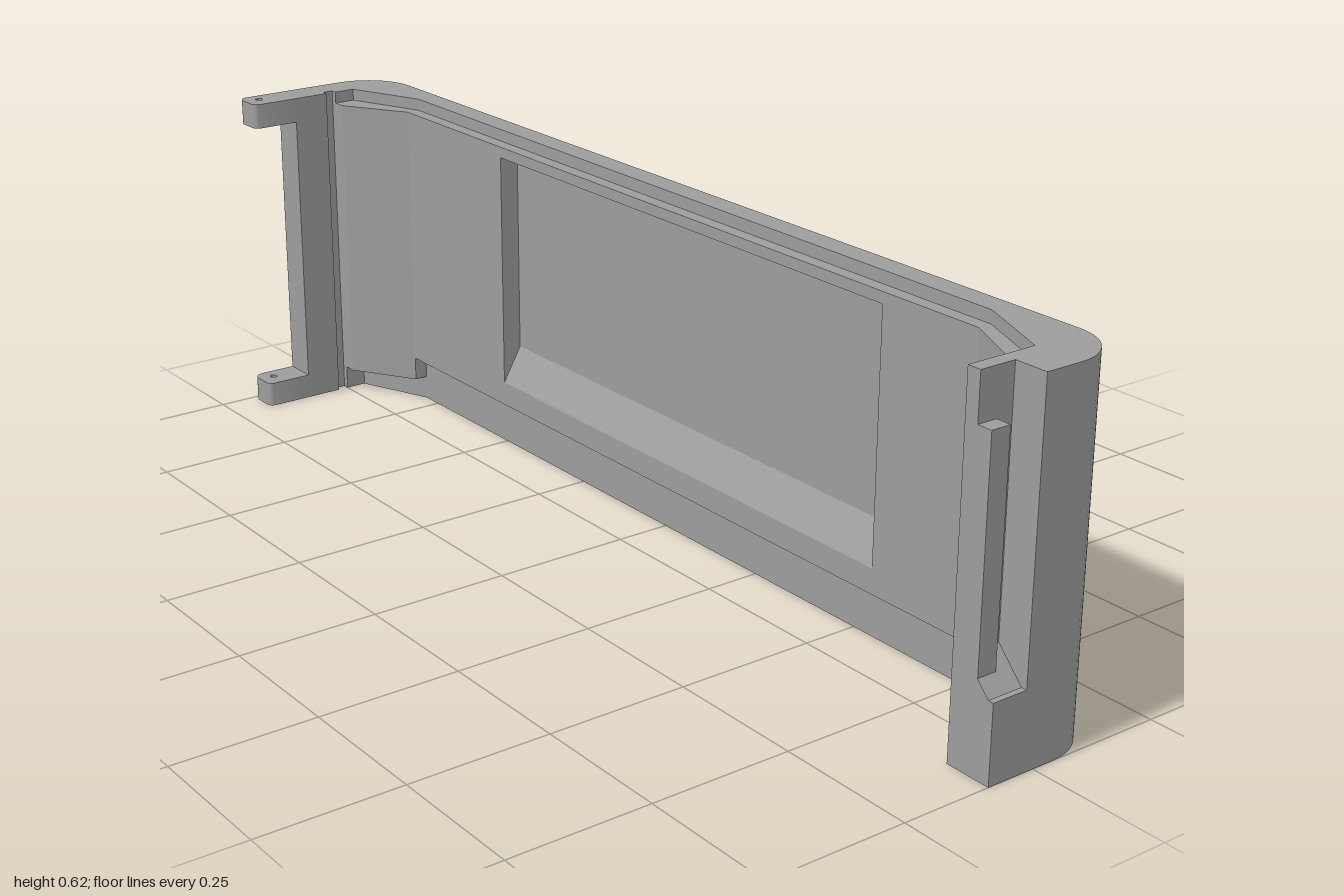
import * as THREE from 'three';
import { toCreasedNormals } from 'three/addons/utils/BufferGeometryUtils.js';

const bodyMaterial = new THREE.MeshStandardMaterial({ color: 0x9d9d9d, side: THREE.DoubleSide });
const holderMaterial = new THREE.MeshStandardMaterial({ color: 0xcccccc, side: THREE.DoubleSide });

function makeMesh(name, geometry, material = bodyMaterial) {
  const mesh = new THREE.Mesh(toCreasedNormals(geometry, 0.5), material);
  mesh.name = name;
  return mesh;
}

const extrude = (shape, depth) =>
  new THREE.ExtrudeGeometry(shape, { depth, bevelEnabled: false, curveSegments: 12 });

// Outline of [x, z] points, extruded upwards from y0 to y1
const planShape = pts => new THREE.Shape(pts.map(([x, z]) => new THREE.Vector2(x, -z)));
function plan(name, shape, y0, y1) {
  return makeMesh(name, extrude(shape, y1 - y0).rotateX(-Math.PI / 2).translate(0, y0, 0));
}

// Outline of [z, y] points, extruded sideways from x0 to x1
const sidePoints = pts => pts.map(([z, y]) => new THREE.Vector2(-z, y));
function side(name, shape, x0, x1) {
  return makeMesh(name, extrude(shape, x1 - x0).rotateY(Math.PI / 2).translate(x0, 0, 0));
}

const rect = (a0, a1, b0, b1) => [[a0, b0], [a1, b0], [a1, b1], [a0, b1]];

// Points of a rounded corner between two angles
function arc(cx, cz, r, from, to, n = 10) {
  return Array.from({ length: n + 1 }, (_, i) => {
    const a = from + (to - from) * i / n;
    return [cx + r * Math.cos(a), cz + r * Math.sin(a)];
  });
}

const H = 0.617;
const OUT = 0.144;    // outer face of the wall
const LIP = 0.075;    // innermost face of the wall
const STEP = 0.1;     // inner face behind the lip
const FLOOR = 0.112;  // floor of the window recess
const END = -0.089;   // tip of the turned-in ends

// U-shaped holder: a hollow-sided profile swept down, across and up
function holderGeometry() {
  const profile = [];
  const a0 = 0.3, a1 = 1.2;
  for (let i = 0; i <= 8; i++) {
    const a = a0 + (a1 - a0) * i / 8;
    const out = 1 - (Math.sin(a) - Math.sin(a0)) / (Math.sin(a1) - Math.sin(a0));
    const drop = (Math.cos(a) - Math.cos(a1)) / (Math.cos(a0) - Math.cos(a1));
    profile.push([0.082 * out, 0.177 - 0.034 * drop]);
  }
  for (const o of [-0.043, -0.055, -0.064, -0.07, -0.073]) profile.push([o, 0.177]);
  for (const o of [-0.073, -0.07, -0.064, -0.055, -0.043, -0.01]) profile.push([o, 0.157]);
  profile.push([-0.01, 0.143]);

  const r = 0.03, mid = 0.0615;
  const path = o => {
    const w = 0.2715 + o;
    const bottom = 0.057 - (o > 0 ? o * 0.6 : o);
    const d = Math.max(0, -o - 0.043);
    const top = 0.53 + Math.sqrt(Math.max(0, r * r - d * d));
    return [
      [mid + w, top],
      ...arc(mid + w - r, bottom + r, r, 0, -Math.PI / 2, 6),
      ...arc(mid - w + r, bottom + r, r, -Math.PI / 2, -Math.PI, 6),
      [mid - w, top],
    ];
  };
  const rows = profile.map(([o, x]) => path(o).map(([z, y]) => [x, y, z]));
  const n = rows.length, m = rows[0].length;
  const index = [];
  for (let i = 0; i < n; i++) {
    const k = (i + 1) % n;
    for (let j = 0; j < m - 1; j++) {
      const a = i * m + j, d = k * m + j;
      index.push(a, a + 1, d + 1, a, d + 1, d);
    }
  }
  // End caps
  const contour = profile.map(([o, x]) => new THREE.Vector2(o, x));
  for (const [a, b, c] of THREE.ShapeUtils.triangulateShape(contour, [])) {
    index.push(a * m, b * m, c * m);
    index.push(a * m + m - 1, c * m + m - 1, b * m + m - 1);
  }
  const geometry = new THREE.BufferGeometry();
  geometry.setAttribute('position', new THREE.Float32BufferAttribute(rows.flat(2), 3));
  geometry.setIndex(index);
  return geometry;
}

export function createModel() {
  const group = new THREE.Group();

  // Long outer wall with two rounded, turned-in ends
  const R = 0.1;
  group.add(plan('outerWall', planShape([
    [END, -1],
    ...arc(OUT - R, -1 + R, R, -Math.PI / 2, 0),
    ...arc(OUT - R, 1 - R, R, 0, Math.PI / 2),
    [-0.023, 1], [-0.023, 0.915], [0.04, 0.915], [STEP, 0.77], [FLOOR, 0.77],
    [FLOOR, -0.79], [STEP, -0.79], [0.04, -0.935],
    [0, -0.935], [0, -0.947], [-0.02, -0.947], [-0.02, -0.935], [END, -0.935],
  ]), 0, H));

  // Full-height backing and inner lip, both cut by a wide shallow window
  const y0 = 0.09, y1 = 0.595;
  const windowPath = new THREE.Path(sidePoints(rect(-0.47, 0.565, 0.135, 0.575)));
  for (const [name, low, high, x0, x1] of [
    ['windowBacking', 0, H, STEP, FLOOR],
    ['innerPanel', y0, y1, LIP, STEP],
  ]) {
    const panel = new THREE.Shape(sidePoints(rect(-0.79, 0.77, low, high)));
    panel.holes.push(windowPath);
    group.add(side(name, panel, x0, x1));
  }

  const sill = new THREE.Shape([[LIP, 0.135], [FLOOR, 0.135], [FLOOR, 0.2]]
    .map(([x, y]) => new THREE.Vector2(x, y)));
  group.add(makeMesh('windowSill', extrude(sill, 1.035).translate(0, 0, -0.47)));

  // Slanted ends of the lip
  group.add(plan('backGusset', planShape([
    [LIP, -0.79], [STEP, -0.79], [0.04, -0.935], [0, -0.935], [0, -0.91],
  ]), 0.045, y1));
  group.add(plan('frontGusset', planShape([
    [LIP, 0.77], [STEP, 0.77], [0.04, 0.915], [-0.055, 0.915], [-0.055, 0.885], [0.02, 0.885],
  ]), 0.045, y1));

  // Front latch: foot, thin wall, sloped floor and raised catch
  group.add(plan('latchFoot', planShape(rect(END, -0.023, 0.915, 1)), 0, 0.135));
  group.add(plan('latchWall', planShape(rect(END, -0.023, 0.915, 0.94)), 0.135, H));
  group.add(side('latchSlope',
    new THREE.Shape(sidePoints([[0.99, 0.135], [0.94, 0.187], [0.94, 0.135]])), END, -0.023));
  group.add(plan('latchCatch', planShape(rect(END, -0.053, 0.94, 0.967)), 0.16, 0.537));

  // Hinge lugs with pin holes
  const lug = planShape([
    [END, -1], [END, -0.935],
    ...arc(-0.165, -0.948, 0.013, Math.PI / 2, Math.PI, 5),
    ...arc(-0.158, -0.98, 0.02, Math.PI, Math.PI * 1.5, 6),
  ]);
  lug.holes.push(new THREE.Path().absarc(-0.148, 0.972, 0.007, 0, Math.PI * 2, true));
  group.add(plan('lowerHingeLug', lug, 0, 0.047));
  group.add(plan('upperHingeLug', lug, 0.57, H));

  // Raised holder on the outer face
  group.add(makeMesh('holder', holderGeometry(), holderMaterial));

  return group;
}
